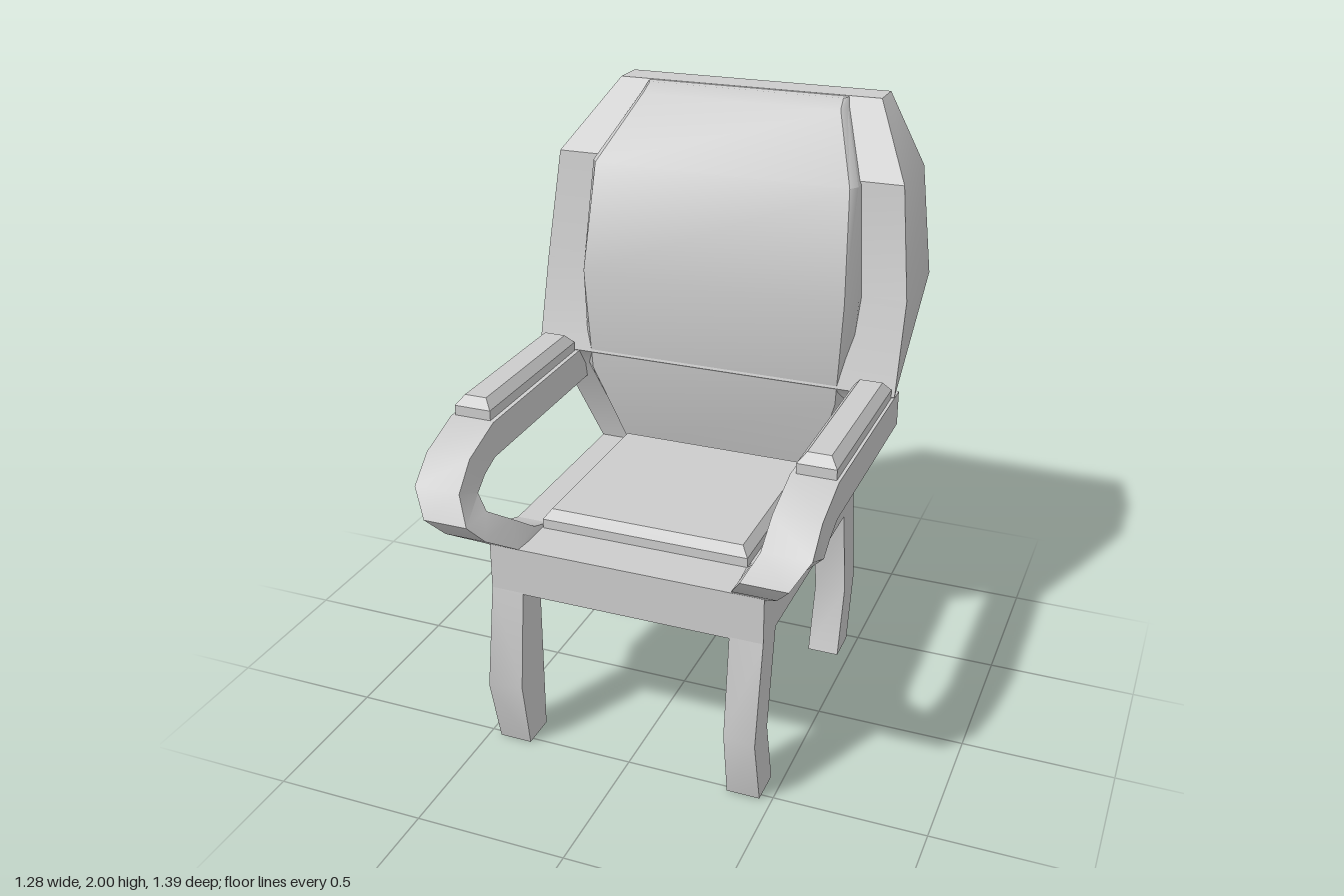
import * as THREE from 'three';
import { toCreasedNormals } from 'three/addons/utils/BufferGeometryUtils.js';

const material = new THREE.MeshStandardMaterial({ color: 0xcccccc });

// Closed solid through rings of [x, y, z] points; winding is set from the signed volume.
function loft(rings, crease = 0.6) {
  const tris = [];
  const n = rings[0].length;
  for (let i = 0; i < rings.length - 1; i++) {
    for (let j = 0; j < n; j++) {
      const k = (j + 1) % n;
      const a = rings[i][j], b = rings[i][k], c = rings[i + 1][k], d = rings[i + 1][j];
      tris.push([a, b, c], [a, c, d]);
    }
  }
  const first = rings[0], last = rings[rings.length - 1];
  for (let j = 1; j < n - 1; j++) {
    tris.push([first[0], first[j + 1], first[j]], [last[0], last[j], last[j + 1]]);
  }
  let volume = 0;
  for (const t of tris) {
    const [a, b, c] = t.map((p) => new THREE.Vector3(...p));
    volume += a.dot(b.cross(c));
  }
  if (volume < 0) tris.forEach((t) => t.reverse());
  const geometry = new THREE.BufferGeometry();
  geometry.setAttribute('position', new THREE.Float32BufferAttribute(tris.flat(2), 3));
  return toCreasedNormals(geometry, crease);
}

// Horizontal rectangle ring
const rect = (x0, x1, y, z0, z1) => [[x0, y, z0], [x1, y, z0], [x1, y, z1], [x0, y, z1]];

// Pad with a chamfered top
function pad(x0, x1, y0, y1, z0, z1, inset) {
  const mid = y0 + (y1 - y0) * 0.55;
  return loft([
    rect(x0, x1, y0, z0, z1),
    rect(x0, x1, mid, z0, z1),
    rect(x0 + inset, x1 - inset, y1, z0 + inset, z1 - inset),
  ], 0.2);
}

export function createModel() {
  const chair = new THREE.Group();
  chair.name = 'armchair';
  const add = (name, geometry) => {
    const mesh = new THREE.Mesh(geometry, material);
    mesh.name = name;
    chair.add(mesh);
  };

  // Seat base and cushion
  add('seatBase', loft([rect(-0.46, 0.46, 0.575, -0.48, 0.52), rect(-0.46, 0.46, 0.737, -0.48, 0.52)]));
  add('seatCushion', pad(-0.35, 0.35, 0.73, 0.8, -0.3, 0.36, 0.023));

  // Back frame: [y, front half width, front z, rear half width, rear z]
  const frame = [
    [0.735, 0.46, -0.36, 0.46, -0.48],
    [1.04, 0.58, -0.29, 0.54, -0.553],
    [1.11, 0.64, -0.24, 0.56, -0.572],
    [1.41, 0.64, -0.33, 0.64, -0.645],
    [1.78, 0.6, -0.37, 0.6, -0.635],
    [2.0, 0.46, -0.58, 0.46, -0.695],
  ];
  add('backFrame', loft(frame.map(([y, wf, zf, wr, zr]) =>
    [[-wf, y, zf], [wf, y, zf], [wr, y, zr], [-wr, y, zr]])));

  // Back cushion: [y, edge half width, edge z, face half width, face z]
  const cushion = [
    [0.735, 0.35, -0.355, 0.34, -0.33],
    [1.05, 0.47, -0.28, 0.44, -0.245],
    [1.41, 0.49, -0.3, 0.46, -0.232],
    [1.77, 0.46, -0.335, 0.44, -0.305],
    [1.97, 0.36, -0.53, 0.345, -0.5],
    [1.998, 0.35, -0.56, 0.34, -0.545],
  ];
  add('backCushion', loft(cushion.map(([y, we, ze, wf, zf]) => [
    [-we, y, ze - 0.08], [-we, y, ze], [-wf, y, zf],
    [wf, y, zf], [we, y, ze], [we, y, ze - 0.08],
  ])));

  // Arm sections: [outer z, outer y, inner z, inner y, inner x, outer x]
  const arm = [
    [-0.3, 1.108, -0.3, 0.99, 0.49, 0.64],
    [0.4, 1.105, 0.4, 0.985, 0.49, 0.64],
    [0.56, 1.05, 0.47, 0.957, 0.49, 0.64],
    [0.645, 0.97, 0.53, 0.92, 0.485, 0.64],
    [0.692, 0.885, 0.562, 0.88, 0.44, 0.588],
    [0.65, 0.825, 0.48, 0.82, 0.4, 0.54],
    [0.52, 0.737, 0.4, 0.76, 0.36, 0.47],
    [0.5, 0.72, 0.3, 0.73, 0.35, 0.458],
  ];

  // Leg sections: [y, outer front z, outer rear z, inner front z, inner rear z]
  const frontLeg = [
    [0, 0.52, 0.4, 0.52, 0.4],
    [0.24, 0.58, 0.46, 0.56, 0.4],
    [0.58, 0.52, 0.4, 0.52, 0.4],
  ];
  const rearLeg = [
    [0, -0.36, -0.48, -0.36, -0.48],
    [0.24, -0.42, -0.54, -0.42, -0.54],
    [0.58, -0.36, -0.48, -0.36, -0.48],
  ];
  const leg = (s, rows) => loft(rows.map(([y, of, or, nf, nr]) =>
    [[s * 0.46, y, of], [s * 0.46, y, or], [s * 0.35, y, nr], [s * 0.35, y, nf]]));

  // Mirrored parts
  for (const [side, s] of [['left', 1], ['right', -1]]) {
    add(side + 'Arm', loft(arm.map(([zo, yo, zi, yi, xi, xo]) =>
      [[s * xi, yo, zo], [s * xo, yo, zo], [s * xo, yi, zi], [s * xi, yi, zi]])));
    const [x0, x1] = s > 0 ? [0.505, 0.63] : [-0.63, -0.505];
    add(side + 'ArmPad', pad(x0, x1, 1.1, 1.17, -0.235, 0.39, 0.025));
    add(side + 'FrontLeg', leg(s, frontLeg));
    add(side + 'RearLeg', leg(s, rearLeg));
  }
  return chair;
}
